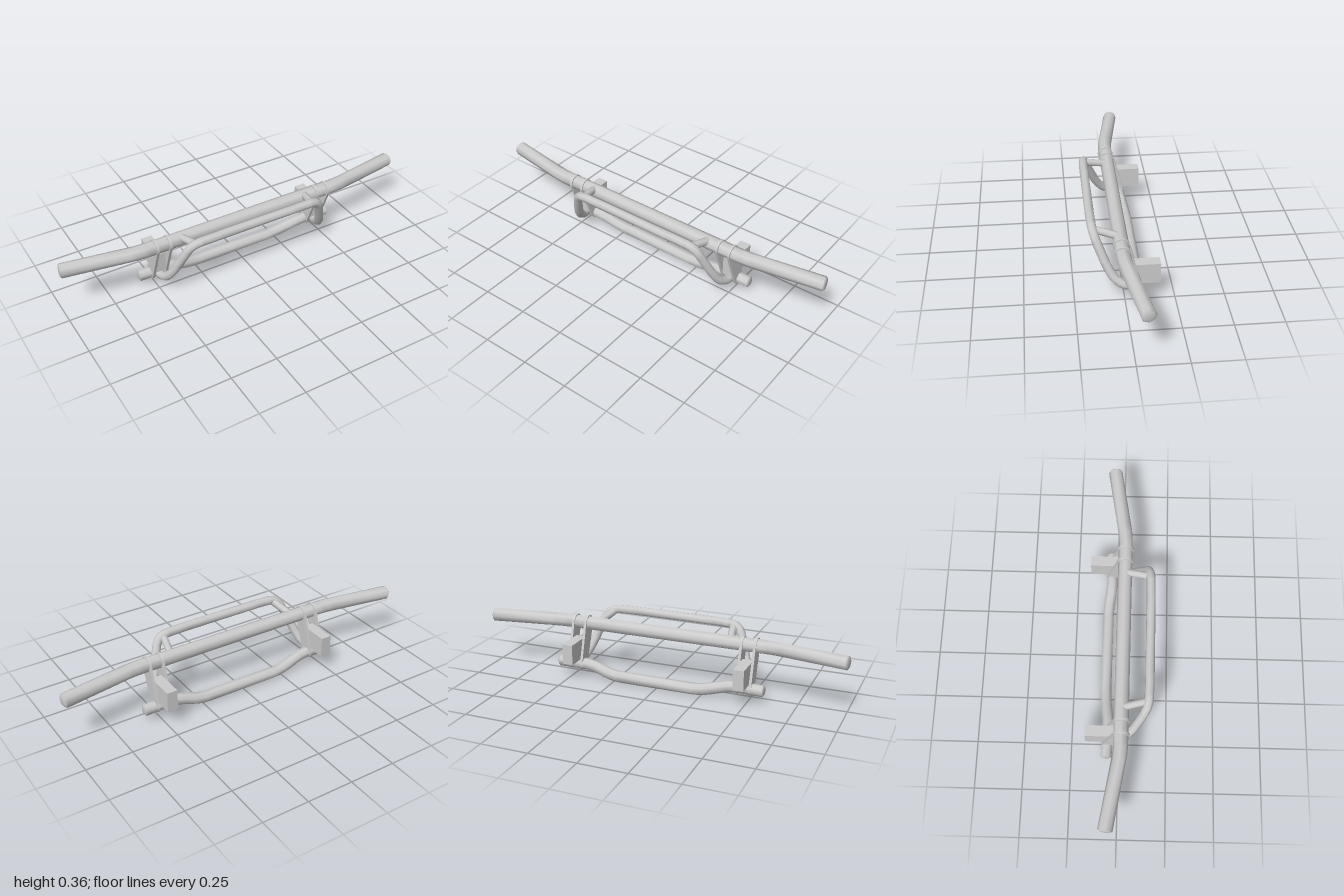
import * as THREE from 'three';

const V = (x, y, z) => new THREE.Vector3(x, y, z);
const material = new THREE.MeshStandardMaterial({ color: 0xcccccc });

// Polyline with its corners rounded into short arcs
function bendPath(points, bend) {
  const out = [points[0]];
  for (let i = 1; i < points.length - 1; i++) {
    const [a, p, b] = [points[i - 1], points[i], points[i + 1]];
    const toward = (q) => p.clone().lerp(q, Math.min(0.45, bend / p.distanceTo(q)));
    out.push(...new THREE.QuadraticBezierCurve3(toward(a), p, toward(b)).getPoints(3));
  }
  out.push(points[points.length - 1]);
  return out;
}

// Eight-sided pipe swept along a path, with bevelled closed ends
function pipe(name, points, radius, { bend = 0.05, up = V(0, 1, 0), phase = 0 } = {}) {
  const path = bendPath(points, bend);
  const last = path.length - 1, sides = 8, pos = [], index = [];
  const rings = path.map((p, i) => ({
    p, r: radius,
    t: path[Math.min(i + 1, last)].clone().sub(path[Math.max(i - 1, 0)]).normalize(),
  }));
  const inset = (ring, d, r) => ({ p: ring.p.clone().addScaledVector(ring.t, d), t: ring.t, r });
  const first = rings[0], end = rings[last], c = radius * 0.2;
  rings[0] = inset(first, c, radius);
  rings[last] = inset(end, -c, radius);
  rings.unshift(inset(first, 0, 0), inset(first, 0, radius * 0.75));
  rings.push(inset(end, 0, radius * 0.75), inset(end, 0, 0));
  rings.forEach(({ p, t, r }, i) => {
    const u = up.clone().addScaledVector(t, -up.dot(t)).normalize();
    const v = t.clone().cross(u);
    for (let j = 0; j < sides; j++) {
      const a = (j / sides) * Math.PI * 2 + phase;
      const q = p.clone().addScaledVector(u, r * Math.cos(a)).addScaledVector(v, r * Math.sin(a));
      pos.push(q.x, q.y, q.z);
      if (i === rings.length - 1) continue;
      const k = (j + 1) % sides, n = i * sides;
      index.push(n + j, n + k, n + sides + k, n + j, n + sides + k, n + sides + j);
    }
  });
  const geometry = new THREE.BufferGeometry();
  geometry.setAttribute('position', new THREE.Float32BufferAttribute(pos, 3));
  geometry.setIndex(index);
  geometry.computeVertexNormals();
  const mesh = new THREE.Mesh(geometry, material);
  mesh.name = name;
  return mesh;
}

// Full path from its left half
const mirrored = (half) => [...half.map((p) => V(-p.x, p.y, p.z)), ...half.slice().reverse()];

// Tapered side plate wrapping the upper and lower bars, drawn in (-z, y)
function plateGeometry(thickness) {
  const top = { x: -0.013, y: 0.283, r: 0.042 }, low = { x: 0.058, y: 0.07, r: 0.033 };
  const dx = top.x - low.x, dy = top.y - low.y;
  const axis = Math.atan2(dy, dx);
  const spread = Math.acos((low.r - top.r) / Math.hypot(dx, dy));
  const shape = new THREE.Shape();
  shape.absarc(top.x, top.y, top.r, axis - Math.PI + spread, axis + Math.PI - spread, false);
  shape.absarc(low.x, low.y, low.r, axis + Math.PI - spread, axis + Math.PI + spread, false);
  const g = new THREE.ExtrudeGeometry(shape, { depth: thickness, bevelEnabled: false, curveSegments: 8 });
  return g.translate(0, 0, -thickness / 2).rotateY(Math.PI / 2);
}

export function createModel() {
  const model = new THREE.Group();
  model.name = 'bullBar';

  // Long upper bar with swept-back ends
  model.add(pipe('upperBar', mirrored([V(1, 0.283, -0.055), V(0.6, 0.283, 0.012)]), 0.038));

  // Lower bar, dropped in the middle
  model.add(pipe('lowerBar', mirrored([
    V(0.585, 0.072, -0.064), V(0.4, 0.072, -0.057), V(0.25, 0.031, -0.076),
  ]), 0.031, { phase: Math.PI / 8 }));

  // Forward hoop rising from the lower bar
  model.add(pipe('frontHoop', mirrored([
    V(0.483, 0.072, -0.05), V(0.478, 0.076, 0.015), V(0.455, 0.125, 0.066),
    V(0.412, 0.245, 0.117), V(0.375, 0.333, 0.149), V(0.27, 0.337, 0.153),
  ]), 0.024, { bend: 0.07, up: V(0, -0.6, 0.8) }));

  const plate = plateGeometry(0.014);
  for (const s of [1, -1]) {
    const side = s > 0 ? 'left' : 'right';

    // Strut between upper bar and hoop
    model.add(pipe(side + 'Strut', [V(s * 0.375, 0.296, 0.015), V(s * 0.345, 0.325, 0.148)], 0.02));

    // Mounting bracket: two plates and a rear block
    const bracket = new THREE.Group();
    bracket.name = side + 'Bracket';
    for (const x of [0.443, 0.515]) {
      const m = new THREE.Mesh(plate, material);
      m.name = 'bracketPlate';
      m.position.x = s * x;
      bracket.add(m);
    }
    const block = new THREE.Mesh(new THREE.BoxGeometry(0.058, 0.11, 0.165), material);
    block.name = 'mountBlock';
    block.position.set(s * 0.479, 0.155, -0.0925);
    bracket.add(block);
    model.add(bracket);
  }
  return model;
}
